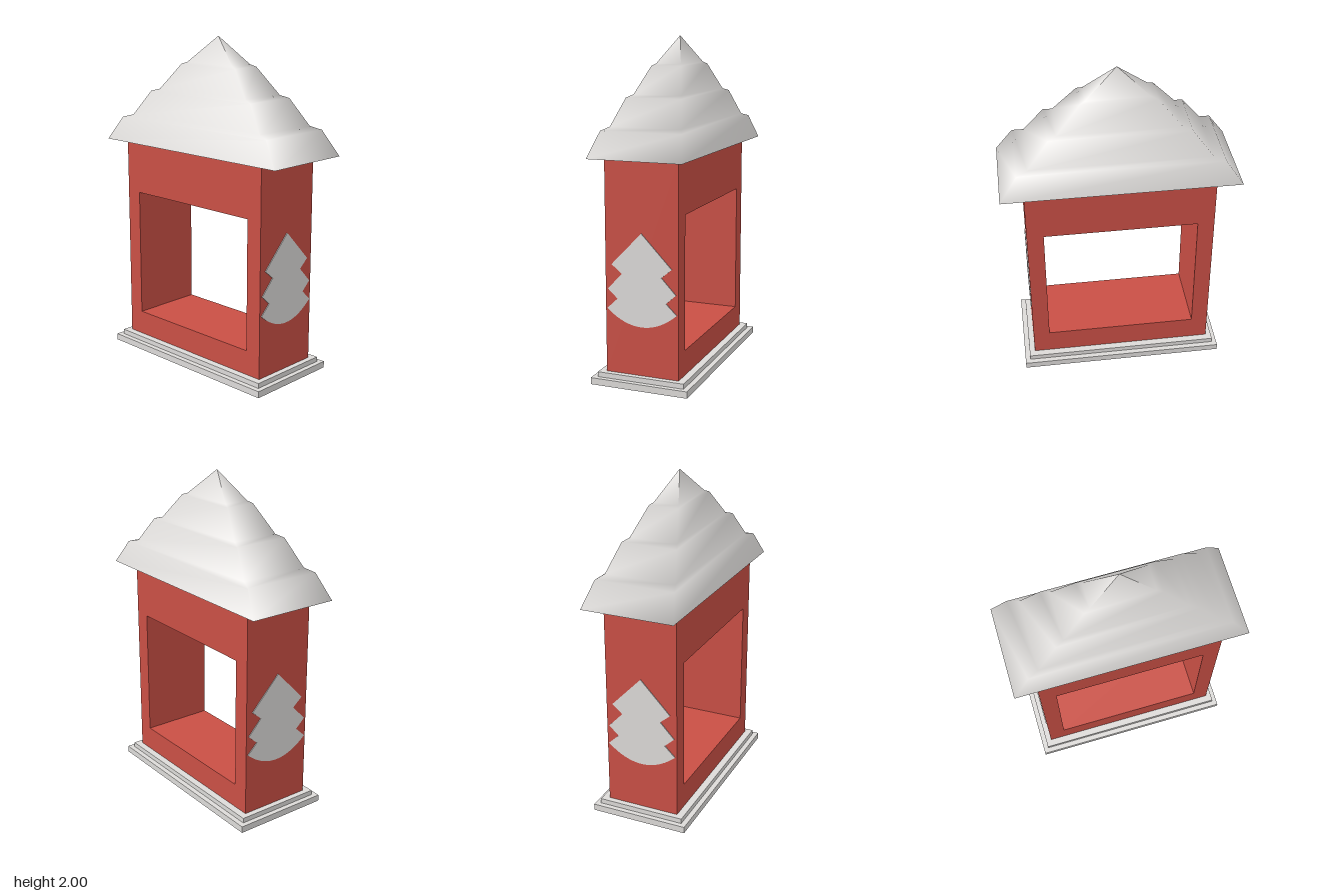
import * as THREE from 'three';

const material = (name, color) => {
  const m = new THREE.MeshStandardMaterial({ color, side: THREE.DoubleSide });
  m.name = name;
  return m;
};

// Surface through stacked rectangles given as [halfX, halfZ, y], listed from the bottom up
function rectangleLoft(rings) {
  const positions = [], index = [];
  for (const [x, z, y] of rings) positions.push(-x, y, z, x, y, z, x, y, -z, -x, y, -z);
  for (let r = 0; r < rings.length - 1; r++) {
    for (let i = 0; i < 4; i++) {
      const a = r * 4 + i, b = r * 4 + (i + 1) % 4, c = b + 4, d = a + 4;
      index.push(a, b, c);
      if (rings[r + 1][0] > 0) index.push(a, c, d);
    }
  }
  const g = new THREE.BufferGeometry();
  g.setAttribute('position', new THREE.Float32BufferAttribute(positions, 3));
  g.setIndex(index);
  g.computeVertexNormals();
  return g;
}

// Same surface with every face kept flat
function flatLoft(rings) {
  const g = rectangleLoft(rings).toNonIndexed();
  g.computeVertexNormals();
  return g;
}

export function createModel() {
  const group = new THREE.Group();
  const red = material('red paint', 0xc94f45);
  const white = material('snow white', 0xdcdad8);
  const add = (name, geometry, mat, parent = group) => {
    const mesh = new THREE.Mesh(geometry, mat);
    mesh.name = name;
    parent.add(mesh);
    return mesh;
  };

  // Stepped plinth, hollow underneath
  const bodyX = 0.563, bodyZ = 0.225, floorY = 0.07, eaveY = 1.335;
  add('plinth', flatLoft([
    [0.627, 0.3, 0], [0.627, 0.3, 0.04], [0.597, 0.268, 0.04],
    [0.597, 0.268, floorY], [bodyX, bodyZ, floorY],
  ]), white);

  // Hollow body: front and back panels with a window, outer side walls, window lining
  const body = new THREE.Group();
  body.name = 'body';
  group.add(body);
  const holeX = 0.462, sillY = 0.22, headY = 1.015;
  const rect = (Type, x, y0, y1) => new Type([
    new THREE.Vector2(-x, y0), new THREE.Vector2(x, y0),
    new THREE.Vector2(x, y1), new THREE.Vector2(-x, y1),
  ]);
  const panel = rect(THREE.Shape, bodyX, floorY, eaveY);
  panel.holes.push(rect(THREE.Path, holeX, sillY, headY));
  for (const s of [1, -1]) {
    const face = add(s > 0 ? 'frontPanel' : 'backPanel', new THREE.ShapeGeometry(panel), red, body);
    face.position.z = s * bodyZ;
    if (s < 0) face.rotation.y = Math.PI;

    const side = s > 0 ? 'left' : 'right';
    const wall = add(side + 'Wall', new THREE.PlaneGeometry(2 * bodyZ, eaveY - floorY), red, body);
    wall.position.set(s * bodyX, (eaveY + floorY) / 2, 0);
    wall.rotation.y = s * Math.PI / 2;

    const jamb = add(side + 'WindowJamb', new THREE.PlaneGeometry(2 * bodyZ, headY - sillY), red, body);
    jamb.position.set(s * holeX, (headY + sillY) / 2, 0);
    jamb.rotation.y = -s * Math.PI / 2;

    const ledge = add(s > 0 ? 'windowHead' : 'windowSill', new THREE.PlaneGeometry(2 * holeX, 2 * bodyZ), red, body);
    ledge.position.y = s > 0 ? headY : sillY;
    ledge.rotation.x = s * Math.PI / 2;
  }

  // Fir tree plates on both side walls
  const tree = new THREE.Shape();
  const half = [[0.185, 0.718], [0.122, 0.665], [0.21, 0.572], [0.15, 0.517], [0.215, 0.455]];
  tree.moveTo(0, 0.91);
  half.forEach(([x, y]) => tree.lineTo(-x, y));
  tree.quadraticCurveTo(-0.11, 0.362, 0, 0.362);
  tree.quadraticCurveTo(0.11, 0.362, 0.215, 0.455);
  half.slice(0, -1).reverse().forEach(([x, y]) => tree.lineTo(x, y));
  tree.closePath();
  for (const s of [1, -1]) {
    const plate = add(s > 0 ? 'leftTree' : 'rightTree',
      new THREE.ExtrudeGeometry(tree, { depth: 0.005, bevelEnabled: false, curveSegments: 10 }), white);
    plate.position.x = s * bodyX;
    plate.rotation.y = s * Math.PI / 2;
  }

  // Four-tier snowy roof with soft shading, closed below
  const roof = new THREE.Group();
  roof.name = 'roof';
  roof.position.z = -0.0125;
  group.add(roof);
  add('roofTiers', rectangleLoft([
    [0.7, 0.283, eaveY], [0.598, 0.243, 1.482], [0.53, 0.215, 1.5],
    [0.41, 0.17, 1.655], [0.357, 0.146, 1.67], [0.22, 0.092, 1.828],
    [0.185, 0.077, 1.84], [0, 0, 2],
  ]), white, roof);
  const soffit = add('roofSoffit', new THREE.PlaneGeometry(1.4, 0.566), white, roof);
  soffit.rotation.x = Math.PI / 2;
  soffit.position.y = eaveY;

  return group;
}
